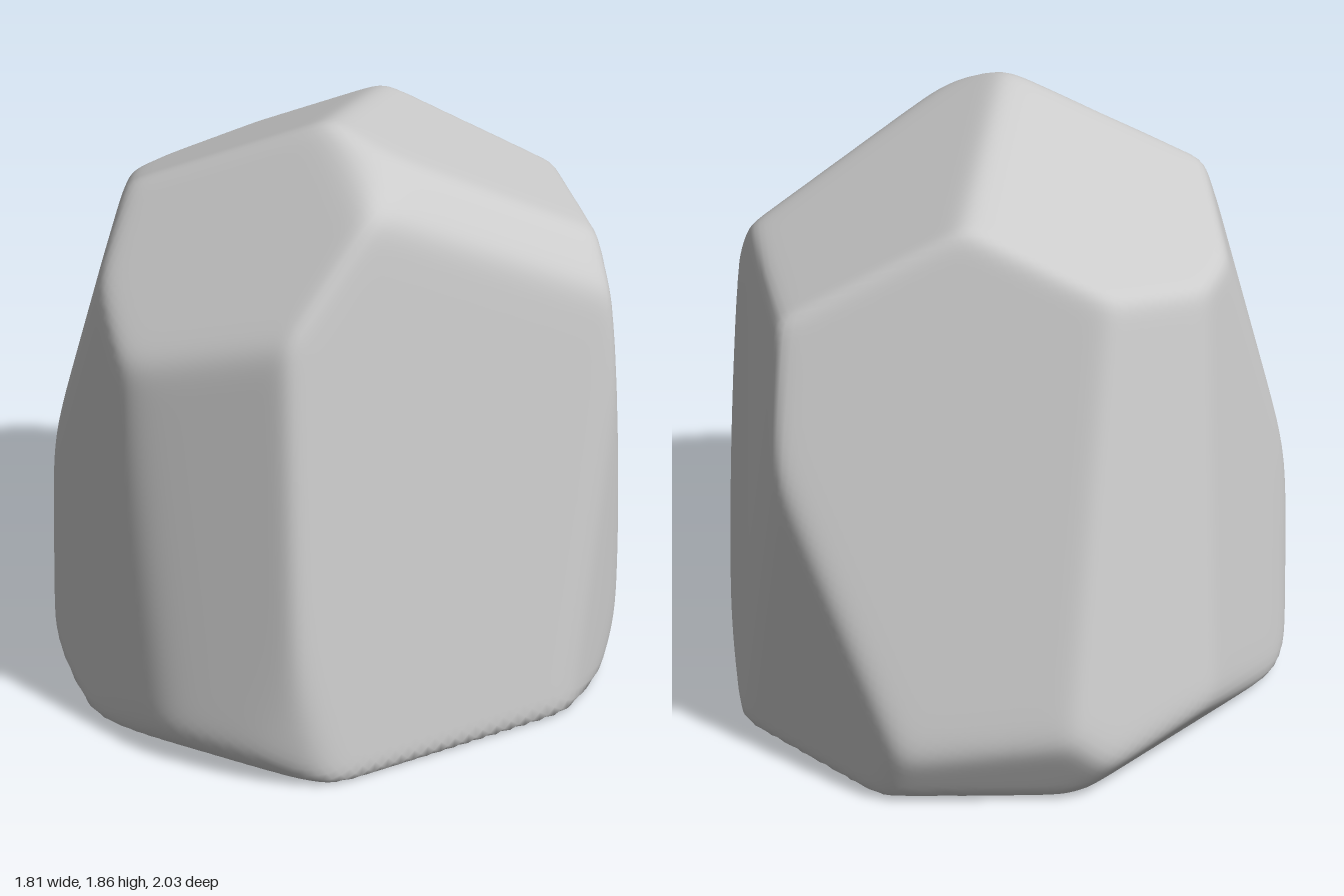
import * as THREE from 'three';
import { mergeVertices } from 'three/addons/utils/BufferGeometryUtils.js';

// Worn facets of the boulder: outward normal x, y, z and distance from the origin
const FACETS = [
  [-0.33, 0.91, -0.25, 1.62],   // top, one half
  [0.44, 0.89, -0.13, 1.625],   // top, other half
  [-0.41, 0.68, 0.61, 1.495],   // upper front slope
  [0.61, 0.65, 0.45, 1.49],     // upper corner bevel
  [0.2, 0.87, 0.44, 1.8],       // peak bevel
  [0.53, 0.14, 0.83, 0.86],     // front, broad face
  [-0.35, 0.13, 0.93, 1.01],    // front, narrow face
  [-0.7, 0.05, 0.7, 0.96],      // front corner
  [0, 0, 1, 1.012],             // front edge
  [-0.91, 0.08, 0.38, 0.905],   // right side, front half
  [-0.9, 0.12, -0.41, 0.875],   // right side, back half
  [-0.96, 0.285, 0, 1.055],     // right side, upper slope
  [-1, 0, 0, 0.905],            // right side edge
  [0.97, 0.1, -0.18, 0.905],    // left side
  [1, 0, 0, 0.907],             // left side edge
  [0.9, 0, 0.42, 0.91],         // left front corner
  [0.71, -0.05, -0.7, 0.93],    // back corner triangle
  [0.1, 0.31, -0.94, 1.03],     // back slope
  [-0.57, 0.2, -0.78, 0.96],    // back corner
  [0, -1, 0, 0],                // underside
  [0.93, -0.36, 0, 0.8],        // bevels around the foot
  [0, -0.4, -0.92, 0.848],
  [-0.7, -0.71, 0, 0.6],
  [-0.3, -0.7, 0.65, 0.65],
  [-0.55, -0.65, -0.52, 0.58],
];
const CENTRE = new THREE.Vector3(0, 0.8, 0);
const SHARPNESS = 60;

// Distance from the centre to the softly rounded meeting of all facets
function radius(u) {
  let sum = 0;
  for (const [x, y, z, d] of FACETS) {
    const reach = d - (x * CENTRE.x + y * CENTRE.y + z * CENTRE.z);
    const t = (x * u.x + y * u.y + z * u.z) / reach;
    if (t > 0) sum += t ** SHARPNESS;
  }
  return sum ** (-1 / SHARPNESS);
}

export function createModel() {
  const group = new THREE.Group();
  group.name = 'boulder';

  // Sphere pushed out to the facets
  let geo = new THREE.IcosahedronGeometry(1, 50);
  geo.deleteAttribute('normal');
  geo.deleteAttribute('uv');
  geo = mergeVertices(geo, 1e-5);
  const pos = geo.attributes.position;
  const v = new THREE.Vector3();
  for (let i = 0; i < pos.count; i++) {
    v.fromBufferAttribute(pos, i).normalize();
    v.multiplyScalar(radius(v)).add(CENTRE);
    pos.setXYZ(i, v.x, v.y, v.z);
  }
  geo.computeVertexNormals();

  const rock = new THREE.Mesh(geo, new THREE.MeshStandardMaterial({ color: 0xcccccc }));
  rock.name = 'rock';
  group.add(rock);
  return group;
}
